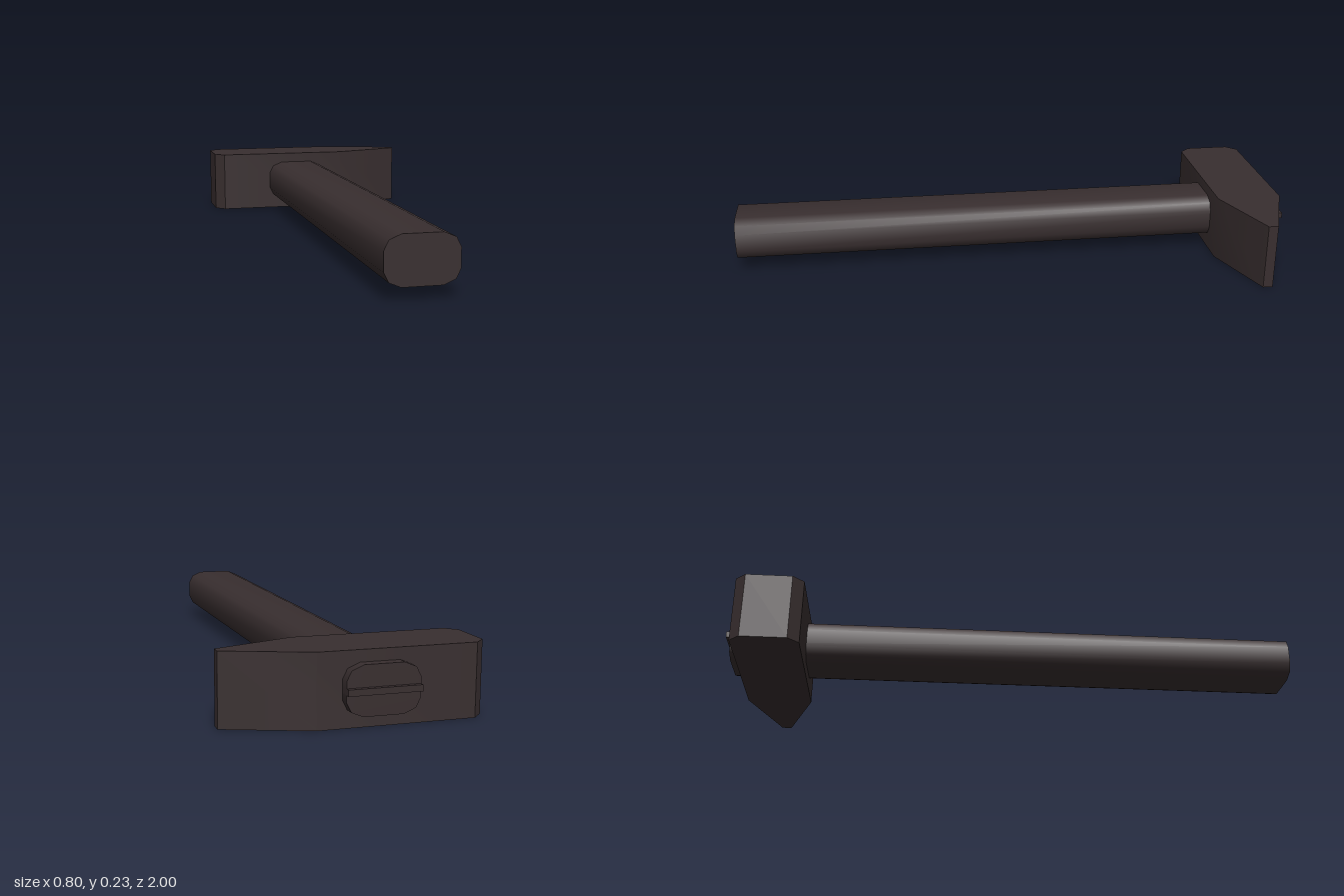
import * as THREE from 'three';
import { toCreasedNormals } from 'three/addons/utils/BufferGeometryUtils.js';

const darkBrown = new THREE.MeshStandardMaterial({ color: 0x382e2f });
darkBrown.name = 'darkBrown';

function part(name, geometry) {
  const mesh = new THREE.Mesh(geometry, darkBrown);
  mesh.name = name;
  return mesh;
}

// Straight extrusion of an outline; corners sharper than the crease stay hard
function prism(points, depth, crease) {
  const shape = new THREE.Shape(points.map(([x, y]) => new THREE.Vector2(x, y)));
  const geometry = new THREE.ExtrudeGeometry(shape, { depth, bevelEnabled: false });
  return toCreasedNormals(geometry, crease);
}

export function createModel() {
  const hammer = new THREE.Group();
  hammer.name = 'hammer';

  // Head: plan outline as (x, distance from centre line), mirrored, with a
  // chamfered striking face on one end and a tapering peen on the other
  const side = [[-0.4, 0.078], [-0.365, 0.114], [0.135, 0.114], [0.4, 0.017]];
  const outline = [
    ...side.map(([x, d]) => [x, -d]),
    ...side.slice().reverse(),
  ];
  const head = part('head', prism(outline, 0.23, 0.6).rotateX(-Math.PI / 2));
  head.position.z = -0.837;
  hammer.add(head);

  // Handle: rounded section built from one quarter, mirrored four ways
  const quarter = [[0.1145, 0.031], [0.0995, 0.061], [0.0625, 0.0765]];
  const back = quarter.slice().reverse();
  const section = [
    ...quarter,
    ...back.map(([x, y]) => [-x, y]),
    ...quarter.map(([x, y]) => [-x, -y]),
    ...back.map(([x, y]) => [x, -y]),
  ];
  const handle = part('handle', prism(section, 1.985, 0.8));
  handle.position.set(-0.0575, 0.1165, -0.985);
  hammer.add(handle);

  // Wedge driven into the end of the handle
  const wedge = part('wedge', new THREE.BoxGeometry(0.229, 0.02, 0.06));
  wedge.position.set(-0.0575, 0.1165, -0.97);
  hammer.add(wedge);

  return hammer;
}
